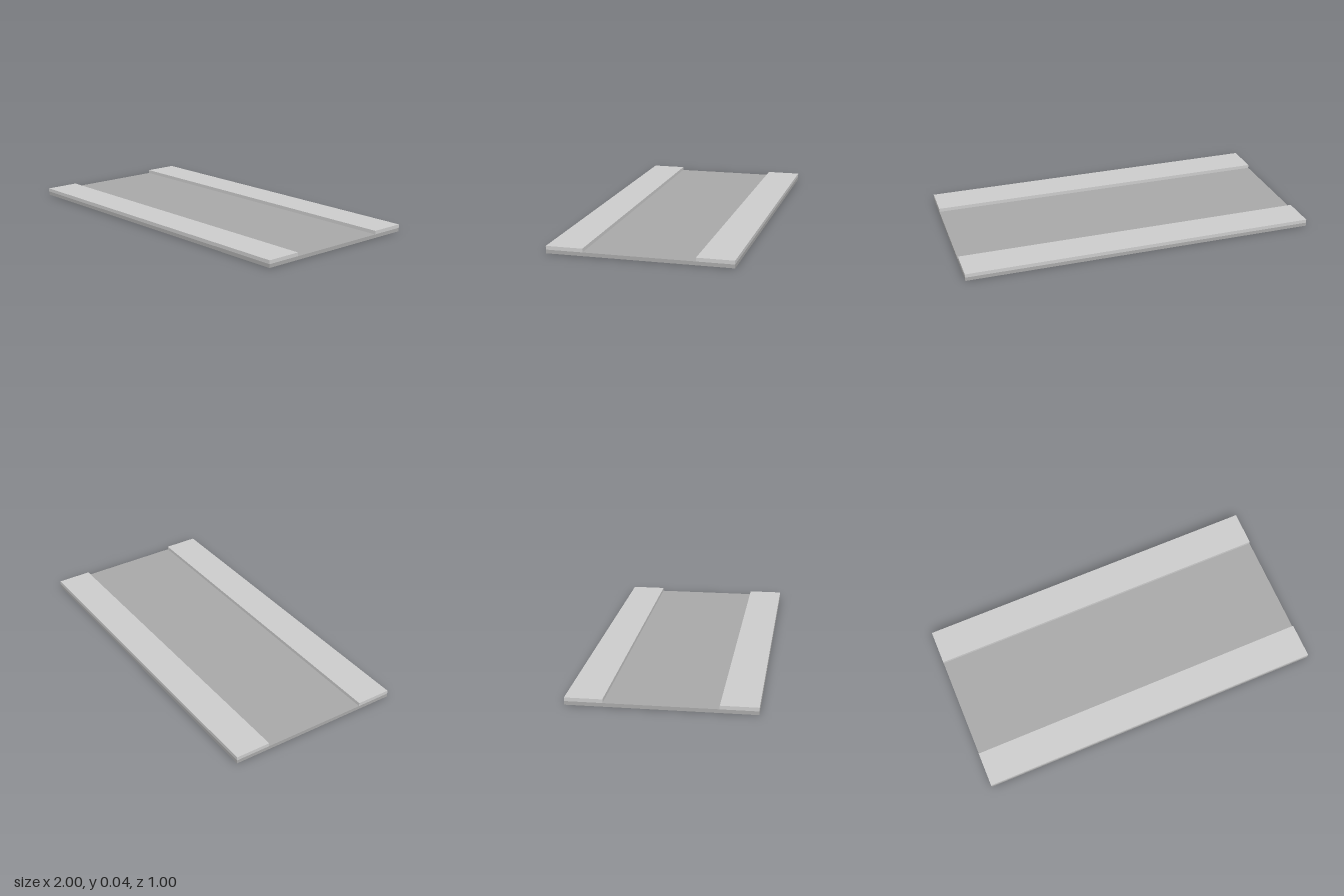
import * as THREE from 'three';

const LENGTH = 2, WIDTH = 1, THICKNESS = 0.02, WALK_WIDTH = 0.2;

function slab(name, depth, bottom, z, color) {
  const mesh = new THREE.Mesh(
    new THREE.BoxGeometry(LENGTH, THICKNESS, depth),
    new THREE.MeshStandardMaterial({ color })
  );
  mesh.name = name;
  mesh.position.set(0, bottom + THICKNESS / 2, z);
  return mesh;
}

export function createModel() {
  const group = new THREE.Group();
  group.name = 'roadSection';

  // Full-width road bed
  group.add(slab('roadBed', WIDTH, 0, 0, 0xa8a8a8));

  // Raised pavements along the front and back edges
  for (const side of [1, -1]) {
    const name = side > 0 ? 'frontPavement' : 'backPavement';
    group.add(slab(name, WALK_WIDTH, THICKNESS, side * (WIDTH - WALK_WIDTH) / 2, 0xcccccc));
  }
  return group;
}
